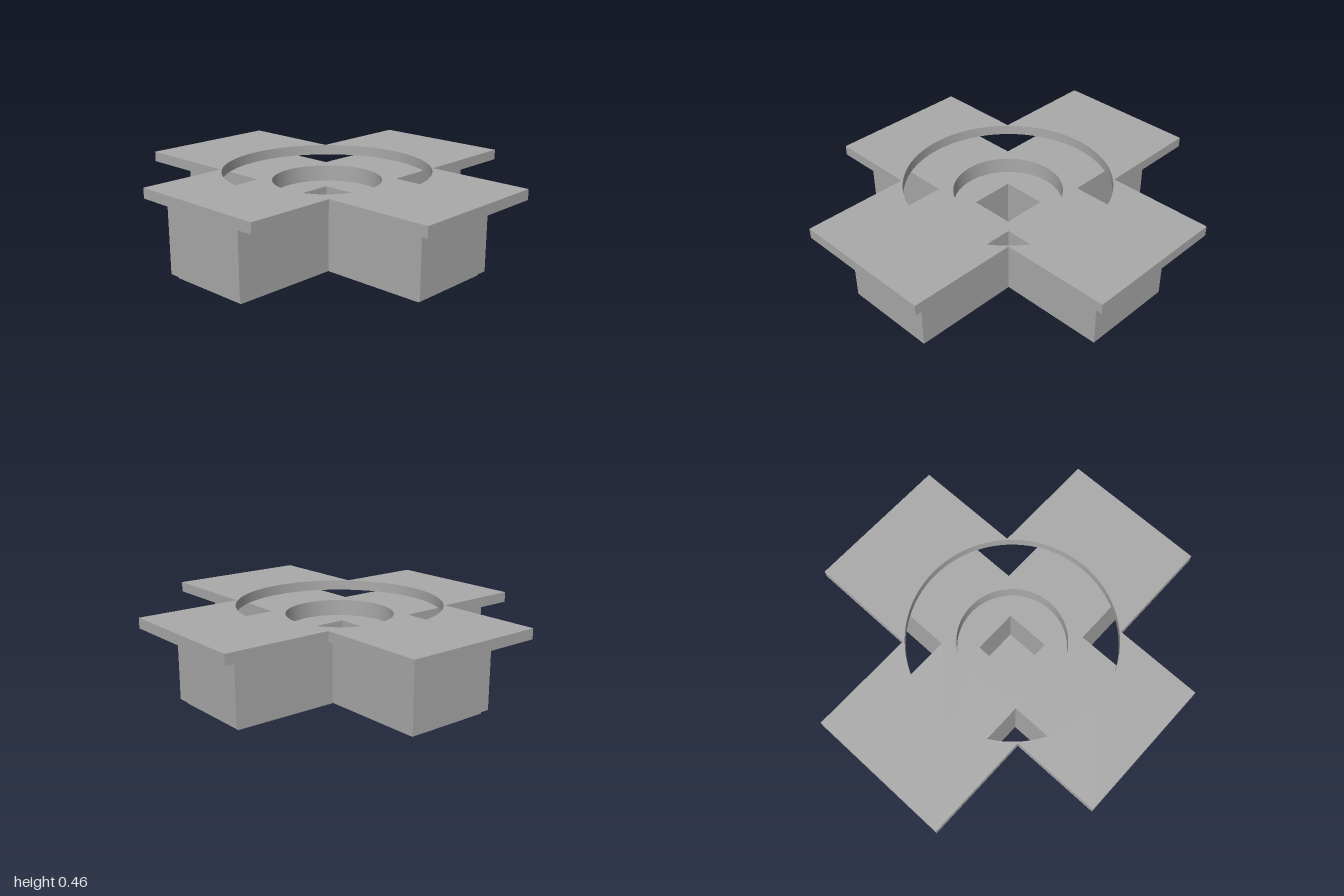
import * as THREE from 'three';
import { toCreasedNormals } from 'three/addons/utils/BufferGeometryUtils.js';

const CX = -0.05; // axis of the bore and of the crossing arms

// Cross outline: arms reach x0..x1 and +-z, with half widths wx and wz
function cross(x0, x1, z, wx, wz) {
  const l = CX - wx, r = CX + wx;
  return new THREE.Shape([
    [l, -z], [r, -z], [r, -wz], [x1, -wz], [x1, wz], [r, wz],
    [r, z], [l, z], [l, wz], [x0, wz], [x0, -wz], [l, -wz],
  ].map(([x, y]) => new THREE.Vector2(x, y)));
}

function roundHole(radius) {
  return new THREE.Path().absarc(CX, 0, radius, 0, Math.PI * 2, true);
}

function squareHole(h) {
  return new THREE.Path([
    [CX - h, -h], [CX - h, h], [CX + h, h], [CX + h, -h],
  ].map(([x, y]) => new THREE.Vector2(x, y)));
}

export function createModel() {
  const group = new THREE.Group();
  const grey = new THREE.MeshStandardMaterial({ color: 0xaaaaaa });
  grey.name = 'grey';

  // Extrudes an outline upwards from y0 to y1
  function layer(name, shape, y0, y1, hole) {
    if (hole) shape.holes.push(hole);
    const geo = new THREE.ExtrudeGeometry(shape, { depth: y1 - y0, bevelEnabled: false, curveSegments: 72 });
    geo.rotateX(-Math.PI / 2);
    geo.translate(0, y0, 0);
    const mesh = new THREE.Mesh(toCreasedNormals(geo, 0.5), grey);
    mesh.name = name;
    group.add(mesh);
  }

  const bodyOutline = () => cross(-0.91, 0.81, 0.86, 0.265, 0.265);

  // Inset foot under the body
  layer('foot', cross(-0.885, 0.785, 0.835, 0.242, 0.242), 0, 0.022);
  // Body with a square socket below a round bore
  layer('bodyWithSocket', bodyOutline(), 0.022, 0.31, squareHole(0.125));
  layer('bodyWithBore', bodyOutline(), 0.31, 0.4, roundHole(0.297));
  // Overhanging plate with a large round opening
  layer('topPlate', cross(-0.95, 0.95, 1, 0.405, 0.405), 0.4, 0.457, roundHole(0.565));

  return group;
}
